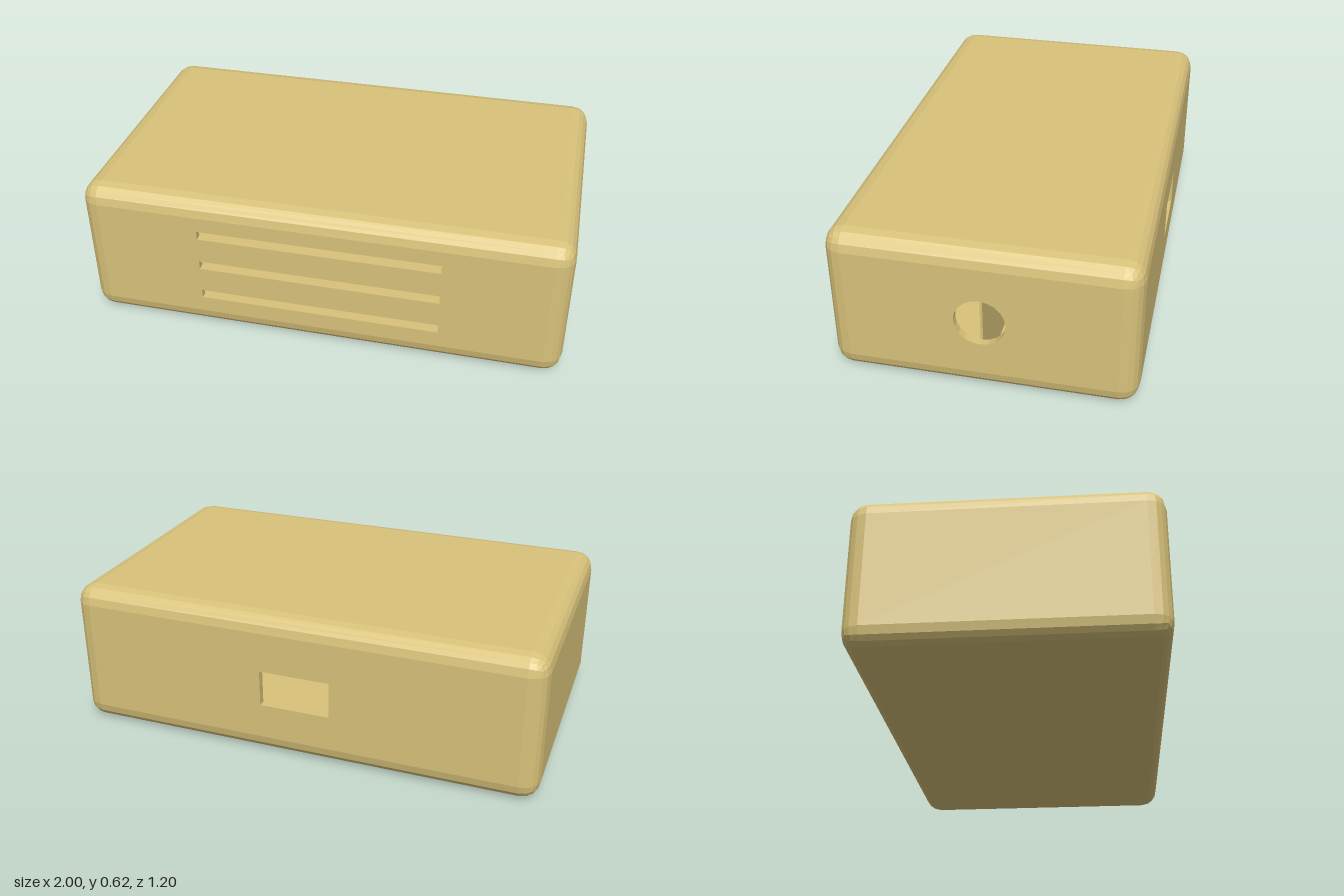
import * as THREE from 'three';
import { RoundedBoxGeometry } from 'three/addons/geometries/RoundedBoxGeometry.js';

const W = 2, H = 0.625, D = 1.2;   // outer size
const R = 0.075, WALL = 0.03;      // edge radius, wall thickness

// Only the rounded rim of the case: the six flat faces are dropped
function rimGeometry() {
  const box = new RoundedBoxGeometry(W, H, D, 2, R);
  const src = box.index ? box.toNonIndexed() : box;
  const p = src.attributes.position;
  const half = [W / 2, H / 2, D / 2];
  const kept = [];
  for (let i = 0; i < p.count; i += 3) {
    const tri = [0, 1, 2].map((k) => [p.getX(i + k), p.getY(i + k), p.getZ(i + k)]);
    const flat = half.some((h, a) => tri.every((v) => Math.abs(Math.abs(v[a]) - h) < 1e-4));
    if (!flat) kept.push(...tri.flat());
  }
  const geo = new THREE.BufferGeometry();
  geo.setAttribute('position', new THREE.Float32BufferAttribute(kept, 3));
  geo.computeVertexNormals();
  return geo;
}

function rectangle(path, x, y, w, h) {
  path.moveTo(x - w / 2, y - h / 2);
  path.lineTo(x + w / 2, y - h / 2);
  path.lineTo(x + w / 2, y + h / 2);
  path.lineTo(x - w / 2, y + h / 2);
  path.closePath();
  return path;
}

export function createModel() {
  const model = new THREE.Group();
  const material = new THREE.MeshStandardMaterial({
    color: 0xd8c27a, flatShading: true, side: THREE.DoubleSide,
  });

  const add = (name, geometry) => {
    const mesh = new THREE.Mesh(geometry, material);
    mesh.name = name;
    mesh.position.y = H / 2;
    model.add(mesh);
    return mesh;
  };

  // Flat wall facing +z before it is turned, with its openings
  const wall = (name, w, h, out, rx, ry, holes = []) => {
    const shape = rectangle(new THREE.Shape(), 0, 0, w - 2 * R, h - 2 * R);
    shape.holes.push(...holes);
    const geo = new THREE.ExtrudeGeometry(shape, { depth: WALL, bevelEnabled: false, curveSegments: 10 });
    geo.translate(0, 0, out - WALL);
    geo.rotateX(rx);
    geo.rotateY(ry);
    add(name, geo);
  };

  add('roundedEdges', rimGeometry());

  // Three vents, a round cable opening and a rectangular port
  const vents = [-0.15, 0, 0.15].map((y) => rectangle(new THREE.Path(), 0, y + 0.003, 1, 0.038));
  const cableHole = new THREE.Path().absarc(0, 0, 0.1, 0, Math.PI * 2, true);
  const port = rectangle(new THREE.Path(), 0, -0.01, 0.3, 0.155);

  wall('frontWall', W, H, D / 2, 0, 0, vents);
  wall('backWall', W, H, D / 2, 0, Math.PI, [port]);
  wall('leftWall', D, H, W / 2, 0, Math.PI / 2, [cableHole]);
  wall('rightWall', D, H, W / 2, 0, -Math.PI / 2);
  wall('topWall', W, D, H / 2, -Math.PI / 2, 0);
  wall('bottomWall', W, D, H / 2, Math.PI / 2, 0);

  // Thin partition inside the case
  add('innerPartition', new THREE.BoxGeometry(W - 2 * WALL, H - 2 * WALL, 0.01));

  return model;
}
